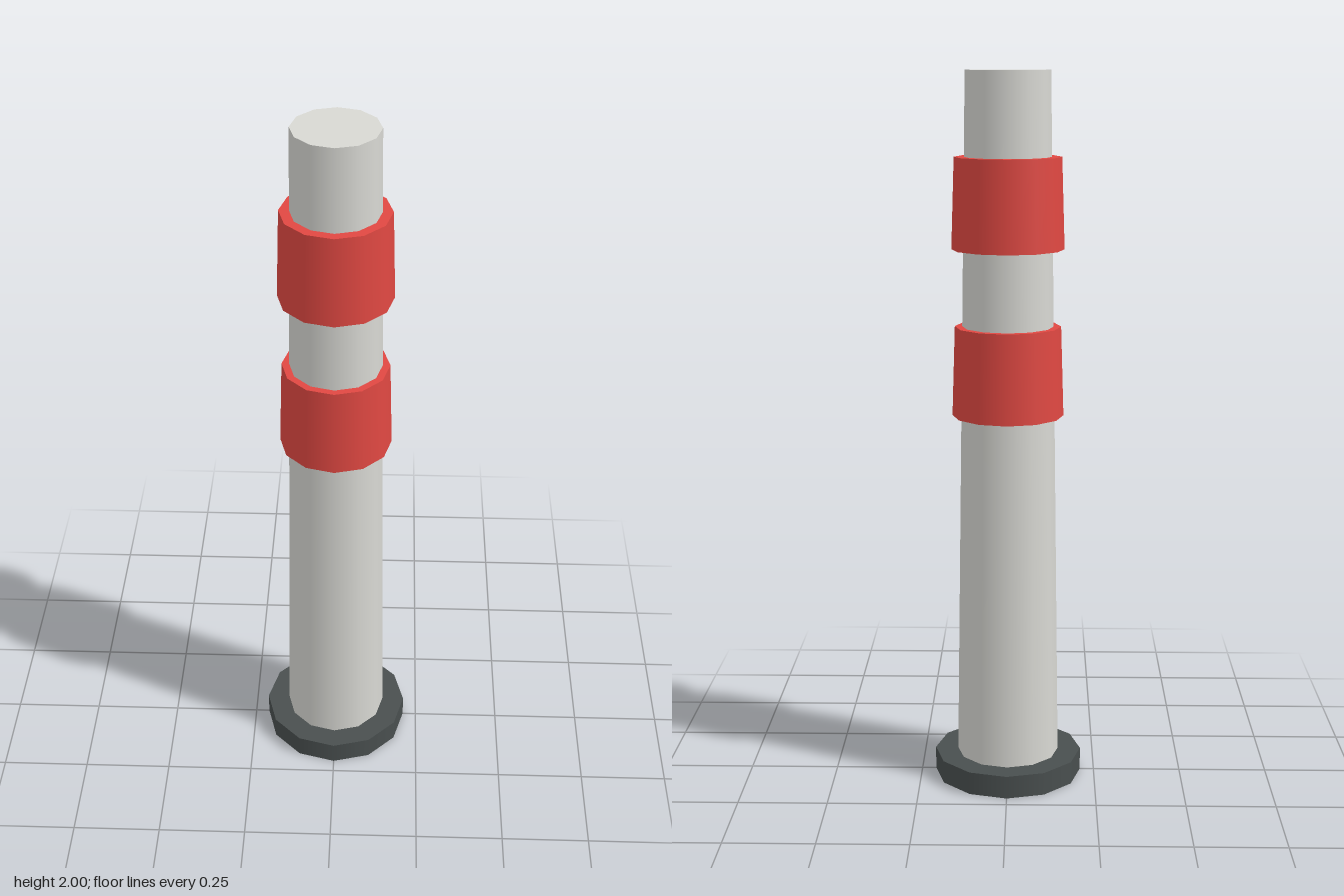
import * as THREE from 'three';

const SIDES = 12;

function material(name, color) {
  const m = new THREE.MeshStandardMaterial({ color });
  m.name = name;
  return m;
}

// Tapered, smooth-sided, capped drum between two heights
function drum(name, mat, y0, y1, rBottom, rTop) {
  const mesh = new THREE.Mesh(new THREE.CylinderGeometry(rTop, rBottom, y1 - y0, SIDES), mat);
  mesh.position.y = (y0 + y1) / 2;
  mesh.name = name;
  return mesh;
}

export function createModel() {
  const group = new THREE.Group();
  group.name = 'bollard';

  const postGrey = material('postGrey', 0xd8d8d3);
  const bandRed = material('bandRed', 0xe04842);
  const baseGrey = material('baseGrey', 0x494f4f);

  // Foot plate and tapered post
  group.add(drum('base', baseGrey, 0, 0.065, 0.21, 0.21));
  group.add(drum('post', postGrey, 0.002, 2, 0.146, 0.116));

  // Two raised bands
  [['lowerBand', 1.057], ['upperBand', 1.52]].forEach(([name, y]) => {
    group.add(drum(name, bandRed, y, y + 0.25, 0.155, 0.147));
  });

  return group;
}
